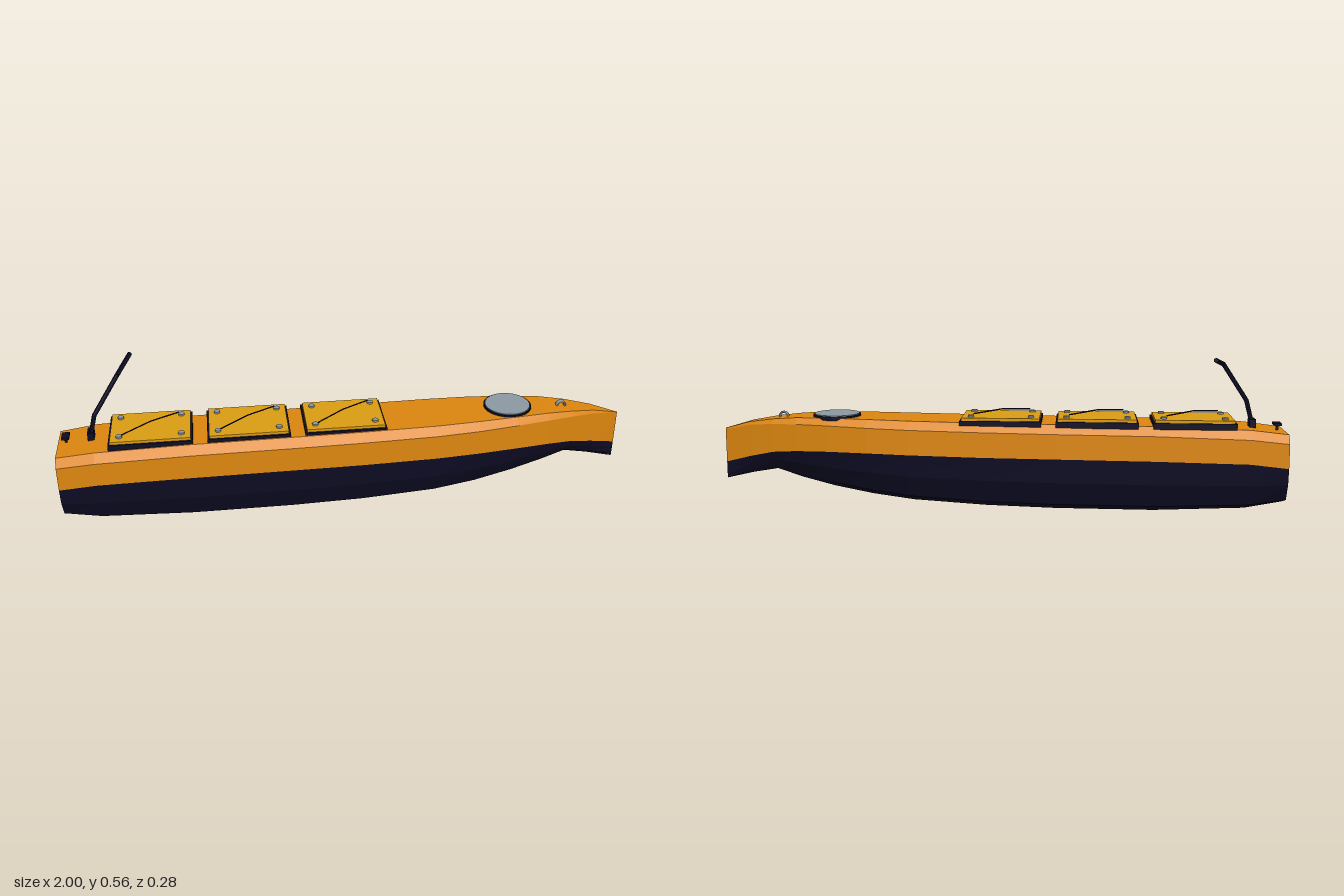
import * as THREE from 'three';

const mat = (name, color, extra = {}) => {
  const m = new THREE.MeshStandardMaterial({ color, ...extra });
  m.name = name;
  return m;
};

export function createModel() {
  const orange = mat('orange', 0xdc860f, { flatShading: true });
  const navy = mat('navy', 0x0e0c24, { flatShading: true });
  const yellow = mat('hatchYellow', 0xdb9c12);
  const grey = mat('grey', 0x8b99a3);

  const model = new THREE.Group();
  model.name = 'kayak';
  const boat = new THREE.Group();
  boat.name = 'boat';
  boat.position.z = 0.011;
  model.add(boat);

  const add = (parent, name, geo, material, x = 0, y = 0, z = 0) => {
    const mesh = new THREE.Mesh(geo, material);
    mesh.name = name;
    mesh.position.set(x, y, z);
    parent.add(mesh);
    return mesh;
  };
  const rod = (parent, name, points, radius, material, sides = 8) => {
    for (let i = 0; i + 1 < points.length; i++) {
      const a = new THREE.Vector3(...points[i]), b = new THREE.Vector3(...points[i + 1]);
      const d = b.clone().sub(a), mid = a.clone().add(b).multiplyScalar(0.5);
      const geo = new THREE.CylinderGeometry(radius, radius, d.length() + radius * 0.5, sides);
      const mesh = add(parent, name, geo, material, mid.x, mid.y, mid.z);
      mesh.quaternion.setFromUnitVectors(new THREE.Vector3(0, 1, 0), d.normalize());
    }
  };

  // Hull stations: x, half width, keel y, waterline y, sheer y, deck y, bilge fullness
  const stations = [
    [-1.0, 0.115, 0.040, 0.180, 0.265, 0.295, 0.70],
    [-0.87, 0.124, 0.015, 0.195, 0.279, 0.310, 0.71],
    [-0.55, 0.127, 0.001, 0.201, 0.288, 0.319, 0.71],
    [-0.2, 0.128, 0.002, 0.204, 0.291, 0.322, 0.71],
    [0.05, 0.128, 0.009, 0.206, 0.294, 0.324, 0.70],
    [0.31, 0.126, 0.025, 0.211, 0.299, 0.328, 0.66],
    [0.46, 0.117, 0.045, 0.214, 0.303, 0.331, 0.60],
    [0.6, 0.101, 0.072, 0.215, 0.307, 0.332, 0.50],
    [0.72, 0.080, 0.103, 0.212, 0.308, 0.330, 0.40],
    [0.81, 0.058, 0.133, 0.204, 0.305, 0.322, 0.32],
    [0.9, 0.031, 0.118, 0.183, 0.297, 0.308, 0.30],
    [1.0, 0.001, 0.095, 0.155, 0.275, 0.280, 0.30],
  ];
  const rings = stations.map(([x, w, keel, water, sheer, deck, full]) => {
    const h = water - keel;
    const side = [
      [w * full, keel + h * 0.17],
      [w * (0.6 + full * 0.49), keel + h * 0.58],
      [w, water],
      [w * 0.985, sheer],
      [w * 0.80, deck],
    ];
    const port = side.map(([z, y]) => [x, y, z]);
    const starboard = side.map(([z, y]) => [x, y, -z]).reverse();
    return [[x, keel, 0], ...port, ...starboard];
  });
  // Skin the chosen strips and close the stern
  const skin = (strips, transom) => {
    const pos = [];
    for (let s = 0; s + 1 < rings.length; s++) {
      for (const i of strips) {
        const j = (i + 1) % 11;
        const a = rings[s][i], b = rings[s + 1][i], c = rings[s + 1][j], d = rings[s][j];
        pos.push(...a, ...b, ...c, ...a, ...c, ...d);
      }
    }
    for (let k = 1; k + 1 < transom.length; k++) {
      pos.push(...rings[0][transom[0]], ...rings[0][transom[k]], ...rings[0][transom[k + 1]]);
    }
    const geo = new THREE.BufferGeometry();
    geo.setAttribute('position', new THREE.Float32BufferAttribute(pos, 3));
    geo.computeVertexNormals();
    return geo;
  };
  add(boat, 'lowerHull', skin([0, 1, 2, 8, 9, 10], [0, 1, 2, 3, 8, 9, 10]), navy);
  add(boat, 'upperHullAndDeck', skin([3, 4, 5, 6, 7], [3, 4, 5, 6, 7, 8]), orange);

  // Three rectangular hatches with rim, lid, studs and a diagonal cord
  for (const x of [-0.68, -0.345, -0.01]) {
    const hatch = new THREE.Group();
    hatch.name = 'hatch';
    hatch.position.set(x, 0, -0.006);
    boat.add(hatch);
    add(hatch, 'hatchRim', new THREE.BoxGeometry(0.285, 0.022, 0.208), navy, 0, 0.321, 0);
    add(hatch, 'hatchLid', new THREE.BoxGeometry(0.272, 0.01, 0.196), yellow, 0, 0.337, 0);
    for (const sx of [-1, 1]) {
      for (const sz of [-1, 1]) {
        add(hatch, 'hatchStud', new THREE.CylinderGeometry(0.011, 0.011, 0.007, 10), grey,
          sx * 0.105, 0.345, sz * 0.066);
      }
    }
    rod(hatch, 'hatchCord', [[-0.095, 0.353, 0.07], [0, 0.361, 0.002], [0.095, 0.353, -0.066]],
      0.0025, navy, 6);
  }

  // Round fore hatch
  add(boat, 'roundHatchRim', new THREE.CylinderGeometry(0.085, 0.085, 0.014, 32), navy, 0.585, 0.331, -0.006);
  add(boat, 'roundHatchLid', new THREE.CylinderGeometry(0.08, 0.08, 0.008, 32), grey, 0.585, 0.337, -0.006);

  // Bow ring
  const ring = add(boat, 'bowRing', new THREE.TorusGeometry(0.015, 0.004, 8, 20), grey, 0.782, 0.326, 0);
  ring.scale.z = 2.5;

  // Stern fittings
  add(boat, 'pumpBase', new THREE.BoxGeometry(0.022, 0.034, 0.042), navy, -0.885, 0.32, -0.01);
  add(boat, 'sternPlate', new THREE.BoxGeometry(0.026, 0.008, 0.042), navy, -0.972, 0.32, -0.01);
  add(boat, 'sternPlatePost', new THREE.BoxGeometry(0.008, 0.026, 0.012), navy, -0.972, 0.306, -0.01);

  // Bent handle
  rod(boat, 'bentHandle', [[-0.885, 0.325, 0], [-0.865, 0.4, 0], [-0.777, 0.53, -0.035], [-0.738, 0.553, -0.146]],
    0.008, navy, 10);

  return model;
}
